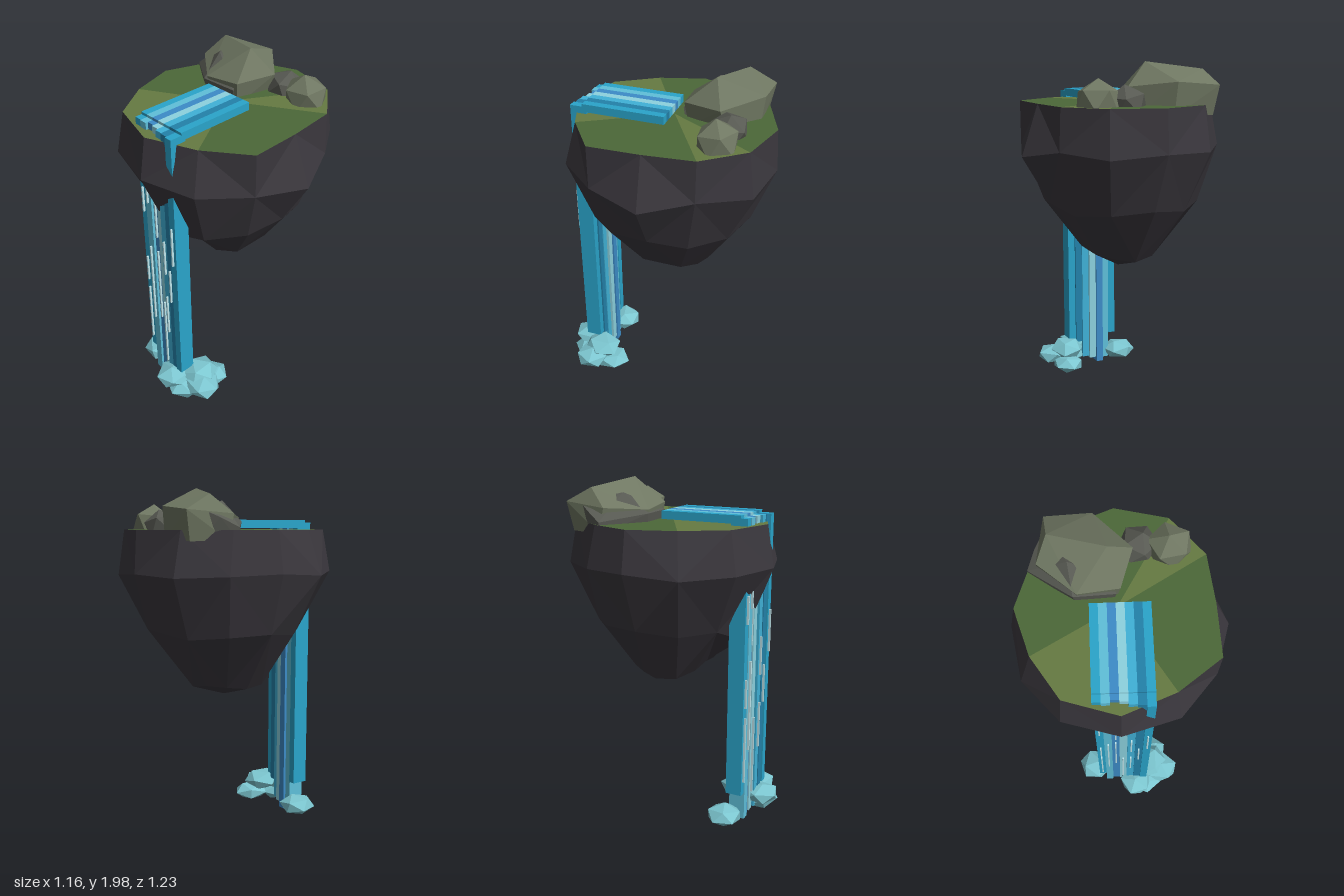
import * as THREE from 'three';
import { ConvexGeometry } from 'three/addons/geometries/ConvexGeometry.js';

const material = (color) => new THREE.MeshStandardMaterial({ color, flatShading: true });
const ROCK = material(0x3a373d);
const GRASS_DARK = material(0x4c6838);
const GRASS_LIGHT = material(0x667a42);
const BOULDER = material(0x6f7762);
const BOULDER_DARK = material(0x585a53);
const SPLASH = material(0x7cc6d0);
const STREAK = material(0xbfe6ec);

function addMesh(parent, name, geometry, mat) {
  const mesh = new THREE.Mesh(geometry, mat);
  mesh.name = name;
  parent.add(mesh);
  return mesh;
}

// Box given by its minimum and maximum corners
function addBox(parent, name, [x0, y0, z0], [x1, y1, z1], mat) {
  const box = addMesh(parent, name, new THREE.BoxGeometry(x1 - x0, y1 - y0, z1 - z0), mat);
  box.position.set((x0 + x1) / 2, (y0 + y1) / 2, (z0 + z1) / 2);
}

function facets(triangles) {
  const g = new THREE.BufferGeometry();
  g.setAttribute('position', new THREE.Float32BufferAttribute(triangles.flat(2), 3));
  g.computeVertexNormals();
  return g;
}

// Irregular 12-sided island: four rings running from +x towards +z, then a tip
function buildIsland(group) {
  const N = 12;
  const top = [[0.48, -0.04], [0.49, 0.25], [0.26, 0.42], [-0.02, 0.53], [-0.31, 0.44], [-0.46, 0.21],
    [-0.54, -0.05], [-0.46, -0.28], [-0.3, -0.5], [-0.02, -0.61], [0.27, -0.54], [0.45, -0.32]];
  const belly = [[0.58, -0.05], [0.49, 0.25], [0.29, 0.48], [-0.02, 0.57], [-0.33, 0.48], [-0.53, 0.25],
    [-0.58, -0.05], [-0.49, -0.32], [-0.31, -0.55], [-0.02, -0.625], [0.285, -0.575], [0.46, -0.32]];
  const bellyY = [1.49, 1.53, 1.53, 1.54, 1.54, 1.53, 1.55, 1.54, 1.53, 1.54, 1.52, 1.54];
  const lowR = [0.43, 0.45, 0.46, 0.43, 0.43, 0.43, 0.46, 0.45, 0.44, 0.46, 0.45, 0.42];
  const lowY = [1.22, 1.2, 1.17, 1.11, 1.2, 1.19, 1.22, 1.21, 1.19, 1.22, 1.2, 1.18];
  const footR = [0.2, 0.23, 0.24, 0.22, 0.22, 0.24, 0.23, 0.21, 0.23, 0.22, 0.22, 0.23];
  const footY = [0.92, 0.92, 0.94, 0.96, 0.92, 0.89, 0.88, 0.89, 0.9, 0.88, 0.9, 0.92];
  const polar = (r, y) => r.map((v, k) => {
    const a = (k / N) * Math.PI * 2;
    return [v * Math.cos(a) - 0.01, y[k], v * Math.sin(a) - 0.04];
  });
  const rings = [
    top.map(([x, z]) => [x, 1.775, z]),
    belly.map(([x, z], k) => [x, bellyY[k], z]),
    polar(lowR, lowY),
    polar(footR, footY),
  ];
  const tip = [0, 0.81, -0.04];
  const centre = [-0.02, 1.775, -0.04];

  const rock = [], dark = [], light = [];
  for (let k = 0; k < N; k++) {
    const n = (k + 1) % N;
    for (let j = 0; j < 3; j++) {
      const a = rings[j][k], b = rings[j][n], c = rings[j + 1][k], d = rings[j + 1][n];
      if ((k + j) % 2) rock.push([a, b, c], [b, d, c]);
      else rock.push([a, b, d], [a, d, c]);
    }
    rock.push([rings[3][k], rings[3][n], tip]);
    ([2, 3, 4, 10].includes(k) ? light : dark).push([centre, rings[0][n], rings[0][k]]);
  }
  addMesh(group, 'islandRock', facets(rock), ROCK);
  addMesh(group, 'grassDark', facets(dark), GRASS_DARK);
  addMesh(group, 'grassLight', facets(light), GRASS_LIGHT);
}

// Faceted boulder from a few corner points
function addBoulder(group, name, corners, mat) {
  addMesh(group, name, new ConvexGeometry(corners.map((p) => new THREE.Vector3(...p))), mat);
}

// Squashed icosahedron scaled to the given half sizes
function addLump(group, name, centre, size, turn, mat) {
  const g = new THREE.IcosahedronGeometry(1, 0);
  g.rotateZ(turn * 0.6);
  g.rotateY(turn);
  g.scale(...size);
  g.translate(...centre);
  addMesh(group, name, g, mat);
}

function buildBoulders(group) {
  addBoulder(group, 'largeBoulder', [
    [-0.06, 2.0, -0.26], [-0.36, 1.96, -0.36], [-0.13, 1.9, -0.51], [-0.38, 1.88, -0.51],
    [0.07, 1.87, -0.32], [0, 1.86, -0.1], [-0.22, 1.84, -0.085], [-0.42, 1.86, -0.25],
    [0.03, 1.72, -0.35], [-0.02, 1.72, -0.12], [-0.2, 1.72, -0.1], [-0.42, 1.72, -0.28],
    [-0.36, 1.72, -0.48], [-0.12, 1.72, -0.49]], BOULDER);
  addBoulder(group, 'sideBoulder', [
    [-0.26, 1.93, -0.22], [-0.38, 1.88, -0.42], [-0.47, 1.79, -0.25], [-0.43, 1.84, -0.34],
    [-0.24, 1.82, -0.08], [-0.02, 1.82, -0.09], [-0.08, 1.86, -0.2],
    [-0.46, 1.72, -0.25], [-0.22, 1.72, -0.09], [-0.04, 1.72, -0.1], [-0.36, 1.72, -0.42]], BOULDER_DARK);
  addLump(group, 'smallBoulder', [0.1, 1.79, -0.38], [0.11, 0.1, 0.11], 0.5, BOULDER_DARK);
  addLump(group, 'mediumBoulder', [0.26, 1.8, -0.365], [0.13, 0.12, 0.12], 1.1, BOULDER);
}

function buildWater(group) {
  // [colour, front z, bottom y, streaks as top/bottom pairs]
  const strips = [
    [0x2aa5cb, 0.47, 0.21, [[1.4, 1.24], [0.92, 0.75], [0.69, 0.29]]],
    [0x5fc0da, 0.475, 0.04, [[1.48, 1.32], [1.02, 0.48]]],
    [0x3d8cc8, 0.46, 0.02, [[1.44, 1.1], [1.0, 0.5]]],
    [0x8dd2df, 0.47, 0.05, [[0.65, 0.17]]],
    [0x40b2d8, 0.485, 0.06, [[1.74, 1.68], [1.48, 1.43], [1.13, 0.9], [0.73, 0.45]]],
    [0x2382aa, 0.49, 0.17, [[0.95, 0.72]]],
    [0x2aa5cb, 0.5, 0.19, [[1.27, 1.02]]],
  ];
  const w = 0.0443;
  strips.forEach(([color, front, bottom, streaks], i) => {
    const x0 = -0.16 + i * w, x1 = x0 + w, mid = x0 + w / 2;
    const mat = material(color);
    addBox(group, 'streamStrip', [x0, 1.785, -0.04], [x1, 1.83, 0.43], mat);
    addBox(group, 'fallStrip', [x0, bottom, front - 0.095], [x1, 1.815, front], mat);
    for (const [hi, lo] of streaks) {
      addBox(group, 'foamStreak', [mid - 0.004, lo, front], [mid + 0.004, hi, front + 0.012], STREAK);
    }
  });
}

// Splash lumps at the foot of the fall
function buildSplash(group) {
  const lumps = [
    [[-0.19, 0.085, 0.38], [0.11, 0.06, 0.11], 0.3],
    [[0.08, 0.13, 0.5], [0.11, 0.06, 0.12], 1.2],
    [[0.18, 0.145, 0.38], [0.11, 0.068, 0.12], 2.1],
    [[0.25, 0.11, 0.42], [0.12, 0.06, 0.11], 0.8],
    [[0.14, 0.075, 0.47], [0.13, 0.065, 0.12], 1.7],
    [[0.2, 0.075, 0.31], [0.1, 0.055, 0.12], 2.6],
  ];
  for (const [centre, size, turn] of lumps) addLump(group, 'splash', centre, size, turn, SPLASH);
}

export function createModel() {
  const model = new THREE.Group();
  model.name = 'floatingIsland';
  const parts = { island: buildIsland, boulders: buildBoulders, waterfall: buildWater, splashes: buildSplash };
  for (const [name, build] of Object.entries(parts)) {
    const group = new THREE.Group();
    group.name = name;
    build(group);
    model.add(group);
  }
  return model;
}
